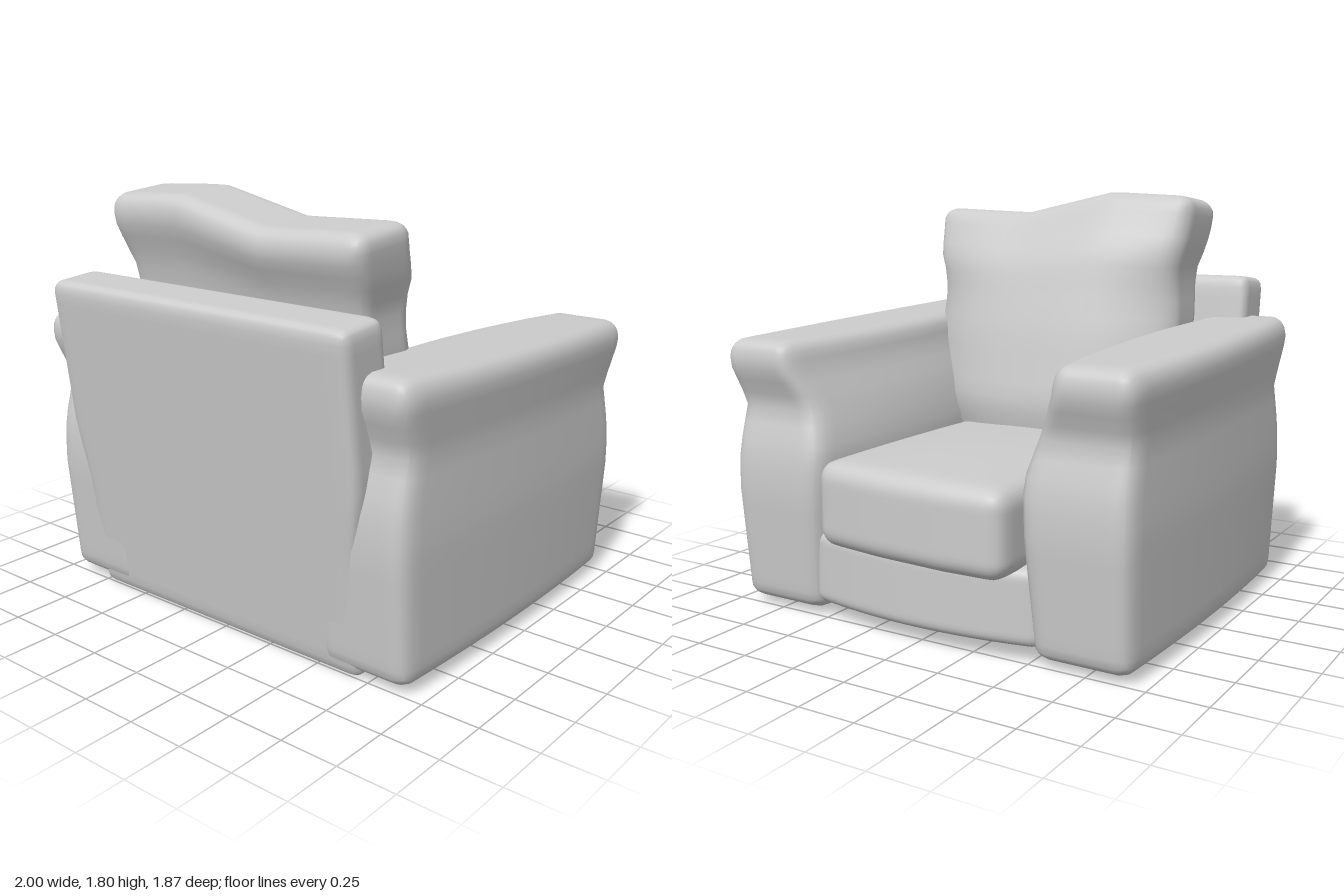
import * as THREE from 'three';
import { mergeVertices } from 'three/addons/utils/BufferGeometryUtils.js';

const { lerp, clamp } = THREE.MathUtils;

// Piecewise-linear lookup in a list of [position, value] pairs
function curve(points, t) {
  if (t <= points[0][0]) return points[0][1];
  for (let i = 1; i < points.length; i++) {
    const [a, va] = points[i - 1], [b, vb] = points[i];
    if (t <= b) return lerp(va, vb, (t - a) / (b - a));
  }
  return points[points.length - 1][1];
}

// Rounded box with half sizes h, resting on y = 0, reshaped by warp(point)
function softBox(name, h, r, warp) {
  const n = 22;
  let g = new THREE.BoxGeometry(2, 2, 2, n, n, n);
  g.deleteAttribute('normal');
  g.deleteAttribute('uv');
  const pos = g.attributes.position;
  const p = new THREE.Vector3(), inner = new THREE.Vector3();
  const half = new THREE.Vector3(...h);
  const bound = half.clone().subScalar(r), low = bound.clone().negate();
  // gather the loops near the edges, half-way between even and sine spacing
  const spread = (t) => lerp(t, Math.sin(t * Math.PI / 2), 0.75);
  for (let i = 0; i < pos.count; i++) {
    p.fromBufferAttribute(pos, i);
    p.set(spread(p.x), spread(p.y), spread(p.z)).multiply(half);
    inner.copy(p).clamp(low, bound);
    p.sub(inner).setLength(Math.min(r, Math.max(Math.abs(p.x), Math.abs(p.y), Math.abs(p.z)))).add(inner);
    p.y += half.y;
    warp(p);
    pos.setXYZ(i, p.x, p.y, p.z);
  }
  g = mergeVertices(g, 1e-5);
  g.computeVertexNormals();
  const mesh = new THREE.Mesh(g, new THREE.MeshStandardMaterial({ color: 0xcccccc }));
  mesh.name = name;
  return mesh;
}

// Arm: pinched below the top roll, swelling inward towards the seat
const armEnd = [[0.03, 0.76], [0.07, 0.78], [0.55, 0.82], [0.73, 0.815], [0.93, 0.76], [1.1, 0.83], [1.22, 0.83]];
const armOuter = [[0.03, 0.97], [0.6, 0.985], [0.92, 0.975], [1.14, 1.0], [1.22, 0.99]];
const armInner = [[0.03, 0.45], [0.5, 0.42], [0.75, 0.41], [0.93, 0.46], [1.1, 0.54], [1.22, 0.56]];

function arm(name, side) {
  return softBox(name, [0.2, 0.595, 0.82], 0.07, (p) => {
    const y = p.y + 0.03, k = (p.z / 0.82) ** 2;
    const outer = curve(armOuter, y) - 0.03 * k;
    const inner = curve(armInner, y) + 0.08 * k;
    const s = (p.x * side + 0.2) / 0.4;
    p.x = side * lerp(inner, outer, s);
    p.z *= curve(armEnd, y) / 0.82;
    p.y = y + 0.035 * p.z * y / 1.2 - 0.004;
  });
}

export function createModel() {
  const model = new THREE.Group();
  model.name = 'armchair';

  model.add(arm('leftArm', 1), arm('rightArm', -1));

  // Leaning back panel, narrower below the arms
  const panelWidth = [[0, 0.735], [0.5, 0.745], [0.78, 0.79], [1.42, 0.79]];
  model.add(softBox('backPanel', [0.79, 0.705, 0.125], 0.05, (p) => {
    const y = p.y, z = p.z;
    p.x = p.x * curve(panelWidth, y) / 0.79 - 0.017;
    p.z = z + 0.64 + 0.17 * y / 1.41;
    p.y = y + 0.01 - 0.09 * z;
  }));

  // Base under the seat with a bowed front
  model.add(softBox('seatBase', [0.56, 0.16, 0.7], 0.05, (p) => {
    const front = clamp((0.2 - p.z) / 0.9, 0, 1);
    p.z += -0.13 + 0.07 * front * (p.x / 0.56) ** 2;
    p.y += 0.07;
  }));

  // Seat cushion, its front edge slightly askew
  const seatFront = [[-0.49, 0.01], [-0.2, 0], [0.12, 0.02], [0.45, 0.07]];
  model.add(softBox('seatCushion', [0.47, 0.18, 0.72], 0.08, (p) => {
    const front = clamp((0.3 - p.z) / 1.02, 0, 1);
    const crown = (1 - (p.x / 0.47) ** 2) * (1 - (p.z / 0.72) ** 2);
    p.y += 0.36 + 0.03 * crown * p.y / 0.36;
    p.x -= 0.02;
    p.z += -0.22 + front * curve(seatFront, p.x);
  }));

  // Slumped back pillow: waist under the top roll, full front, uneven top
  const pillowWidth = [[0.58, 0.5], [0.8, 0.58], [1.2, 0.63], [1.43, 0.615], [1.54, 0.65], [1.7, 0.665]];
  const pillowBack = [[0.58, 0.5], [1.23, 0.62], [1.48, 0.67], [1.64, 0.74], [1.75, 0.74]];
  const pillowFront = [[0.58, 0.12], [0.85, 0.07], [1.2, 0.14], [1.5, 0.23], [1.66, 0.34], [1.75, 0.39]];
  const pillowTop = [[-0.64, 0.03], [-0.24, 0.05], [0.2, -0.045], [0.69, -0.025]];
  model.add(softBox('backPillow', [0.66, 0.585, 0.17], 0.07, (p) => {
    const y = p.y + 0.58, u = Math.abs(p.x) / 0.66;
    const x = p.x * curve(pillowWidth, y) / 0.66 + 0.025;
    const puff = 0.2 * u ** 2.6 * clamp((1.78 - y) / 0.5, 0.1, 1);
    const s = (p.z + 0.17) / 0.34;
    p.z = lerp(curve(pillowFront, y) + puff, curve(pillowBack, y), s);
    p.x = x;
    p.y = y + curve(pillowTop, x) * clamp((y - 1.1) / 0.6, 0, 1) + 0.03 * (0.5 - s) * clamp((y - 1.4) / 0.3, 0, 1);
  }));

  return model;
}
